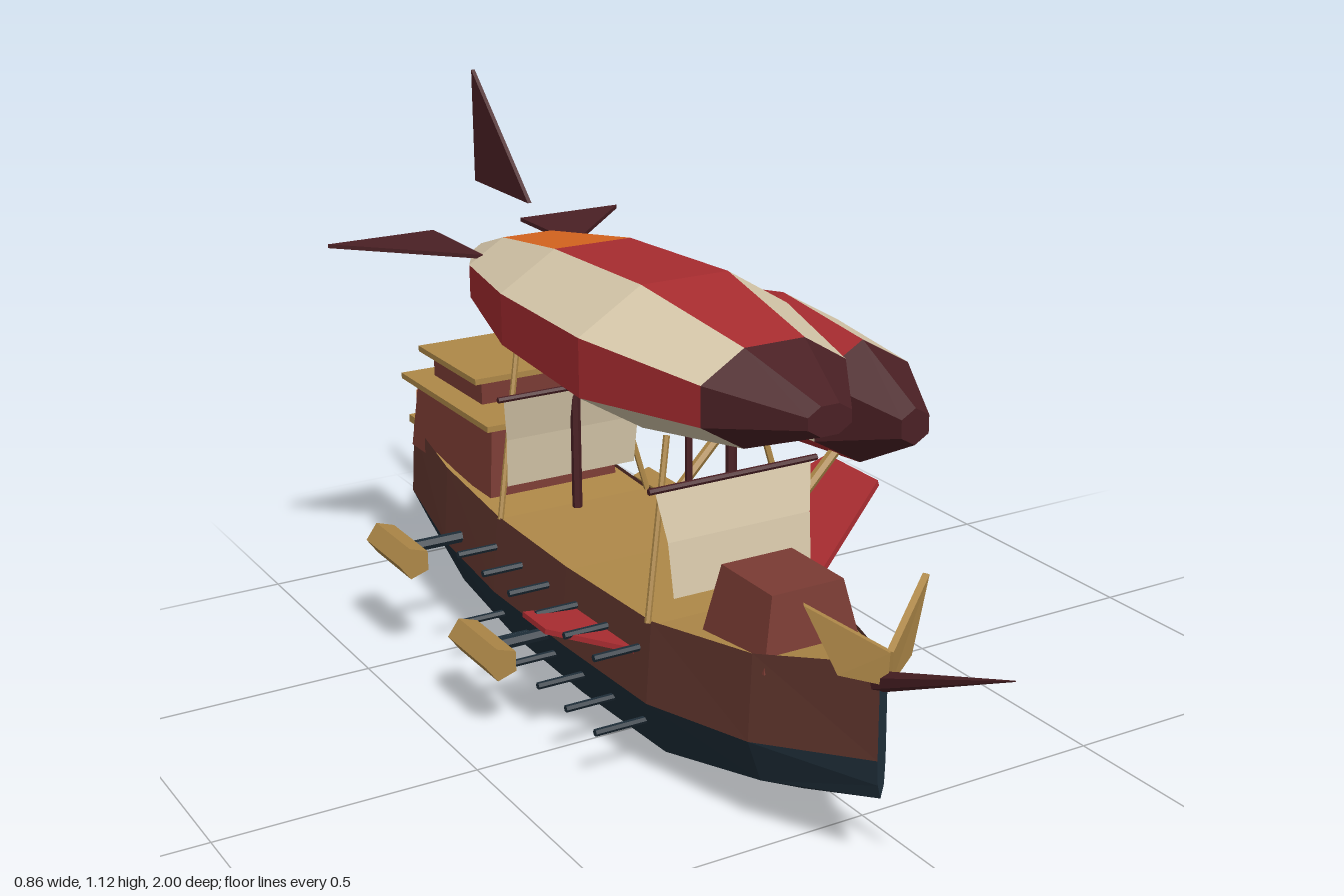
import * as THREE from 'three';

const mat = (name, color) => {
  const m = new THREE.MeshStandardMaterial({ color, flatShading: true, side: THREE.DoubleSide });
  m.name = name;
  return m;
};

export function createModel() {
  const brown = mat('hull brown', 0x60352d), navy = mat('navy', 0x1e2d38), tan = mat('tan wood', 0xae8848);
  const red = mat('red', 0xa82c30), cream = mat('cream', 0xd8c9ab), maroon = mat('maroon', 0x4a2024);
  const orange = mat('orange', 0xda661f), cabinRed = mat('cabin red', 0x7a3b33);

  const model = new THREE.Group();
  const ship = new THREE.Group();
  ship.name = 'airship';
  ship.position.x = -0.09; // hull centreline
  model.add(ship);

  const V = (x, y, z) => new THREE.Vector3(x, y, z);
  const add = (name, geo, material, x = 0, y = 0, z = 0, parent = ship) => {
    const m = new THREE.Mesh(geo, material);
    m.name = name;
    m.position.set(x, y, z);
    parent.add(m);
    return m;
  };
  // Mesh from convex polygons, each split as a fan
  const polys = (name, list, material) => {
    const pos = [];
    for (const p of list)
      for (let i = 1; i < p.length - 1; i++)
        for (const v of [p[0], p[i], p[i + 1]]) pos.push(v.x, v.y, v.z);
    const g = new THREE.BufferGeometry();
    g.setAttribute('position', new THREE.Float32BufferAttribute(pos, 3));
    g.computeVertexNormals();
    return add(name, g, material);
  };
  // Flat outline thickened along its normal
  const plate = (name, pts, material, t = 0.008) => {
    const n = pts[1].clone().sub(pts[0]).cross(pts[2].clone().sub(pts[0])).normalize().multiplyScalar(t / 2);
    const a = pts.map(p => p.clone().add(n)), b = pts.map(p => p.clone().sub(n));
    const sides = pts.map((_, i) => { const j = (i + 1) % pts.length; return [a[i], b[i], b[j], a[j]]; });
    return polys(name, [a, b.slice().reverse(), ...sides], material);
  };
  const rod = (name, a, b, r, material, sides = 6, rEnd = r) => {
    const d = b.clone().sub(a);
    const m = add(name, new THREE.CylinderGeometry(rEnd, r, d.length(), sides), material);
    m.position.copy(a).add(b).multiplyScalar(0.5);
    m.quaternion.setFromUnitVectors(V(0, 1, 0), d.normalize());
    return m;
  };
  // Box whose top is scaled in
  const frustum = (name, w, h, d, sx, sz, material, y, z) => {
    const g = new THREE.BoxGeometry(w, h, d), p = g.attributes.position;
    for (let i = 0; i < p.count; i++)
      if (p.getY(i) > 0) p.setXYZ(i, p.getX(i) * sx, p.getY(i), p.getZ(i) * sz);
    g.computeVertexNormals();
    return add(name, g, material, 0, y + h / 2, z);
  };

  // Hull stations: z, half width, keel y, chine y, waist y, rail y
  const stations = [
    [0.675, 0.008, 0.14, 0.165, 0.21, 0.385], [0.45, 0.115, 0.055, 0.095, 0.175, 0.337],
    [0.2, 0.17, 0.005, 0.05, 0.155, 0.312], [-0.1, 0.18, 0, 0.045, 0.155, 0.31],
    [-0.39, 0.18, 0.005, 0.05, 0.155, 0.315], [-0.64, 0.17, 0.03, 0.08, 0.175, 0.335],
    [-0.865, 0.14, 0.1, 0.14, 0.21, 0.36],
  ].map(([z, w, k, c, m, t]) => [
    V(w * 0.93, t, z), V(w, m, z), V(w * 0.77, c, z), V(0, k, z),
    V(-w * 0.77, c, z), V(-w, m, z), V(-w * 0.93, t, z)]);
  const lower = [], upper = [], deck = [];
  for (let i = 0; i < stations.length - 1; i++) {
    const s = stations[i], n = stations[i + 1];
    for (let j = 0; j < 6; j++) (j === 0 || j === 5 ? upper : lower).push([s[j], s[j + 1], n[j + 1], n[j]]);
    deck.push([s[6], s[0], n[0], n[6]].map(v => v.clone().setY(v.y - 0.008)));
  }
  lower.push(stations[6], stations[0].slice().reverse());
  polys('lowerHull', lower, navy);
  polys('upperHull', upper, brown);
  polys('deck', deck, tan);

  // Balloons: stations [z, scale], alternating panels, dark nose
  const balloon = (name, n, rx, ry, x, y, turn, st, patch) => {
    const rings = st.map(([z, s]) => Array.from({ length: n }, (_, k) => {
      const a = turn - (k * 2 * Math.PI) / n;
      return V(x + rx * s * Math.cos(a), y + ry * s * Math.sin(a), z);
    }));
    const nose = [rings[0].slice().reverse()], a = [], b = [], extra = [];
    for (let i = 0; i < rings.length - 1; i++)
      for (let k = 0; k < n; k++) {
        const j = (k + 1) % n, f = [rings[i][k], rings[i][j], rings[i + 1][j], rings[i + 1][k]];
        (i === 0 ? nose : patch && i === patch[0] && k === patch[1] ? extra : k % 2 ? b : a).push(f);
      }
    nose.push(rings[rings.length - 1]);
    polys(name + 'Ends', nose, maroon);
    polys(name + 'RedPanels', a, red);
    polys(name + 'CreamPanels', b, cream);
    if (extra.length) polys(name + 'Patch', extra, orange);
  };
  balloon('mainBalloon', 8, 0.232, 0.142, 0, 0.746, Math.PI / 8,
    [[0.51, 0.2], [0.345, 0.67], [0.055, 1], [-0.285, 0.91], [-0.56, 0.6], [-0.745, 0.16]], [3, 6]);
  balloon('sideBalloon', 6, 0.148, 0.148, 0.374, 0.588, Math.PI / 6,
    [[0.24, 0.24], [0.07, 0.82], [-0.2, 1], [-0.51, 0.65], [-0.685, 0.17]]);

  // Tail fins
  plate('tailFin', [V(0, 1.118, -0.785), V(0, 0.89, -0.545), V(0, 0.89, -0.785)], maroon);
  for (const s of [-1, 1])
    plate('sideTailFin', [V(s * 0.33, 0.793, -0.79), V(s * 0.1, 0.793, -0.79), V(s * 0.1, 0.793, -0.55)], maroon);

  // Rudder, bowsprit and bow wings
  plate('rudder', [V(0, 0.33, -0.866), V(0, 0.275, -0.97), V(0, 0.135, -1), V(0, 0.075, -0.95), V(0, 0.14, -0.862)], maroon, 0.012);
  rod('bowsprit', V(0, 0.345, 0.66), V(0, 0.485, 1), 0.018, maroon, 6, 0.001);
  for (const s of [-1, 1])
    plate('bowWing', [V(0, 0.41, 0.69), V(s * 0.12, 0.493, 0.62), V(s * 0.07, 0.37, 0.645), V(0, 0.35, 0.685)], tan, 0.012);

  // Cabins and stern roofs
  frustum('foreCabin', 0.2, 0.13, 0.2, 0.72, 0.8, cabinRed, 0.305, 0.375);
  frustum('aftCabin', 0.285, 0.145, 0.38, 0.9, 0.93, cabinRed, 0.32, -0.66);
  add('lowerRoof', new THREE.BoxGeometry(0.305, 0.012, 0.415), tan, 0, 0.471, -0.66);
  add('upperCabin', new THREE.BoxGeometry(0.2, 0.05, 0.23), cabinRed, 0, 0.502, -0.7);
  add('upperRoof', new THREE.BoxGeometry(0.245, 0.012, 0.275), tan, 0, 0.533, -0.703);
  add('sternWindow', new THREE.BoxGeometry(0.25, 0.055, 0.009), orange, 0, 0.41, -0.853);
  add('sternLedge', new THREE.BoxGeometry(0.27, 0.016, 0.03), tan, 0, 0.37, -0.863);

  // Side wings of unequal span
  plate('leftWing', [V(0.165, 0.235, 0.17), V(0.52, 0.352, -0.07), V(0.52, 0.352, -0.25), V(0.165, 0.235, -0.25)], red, 0.012);
  plate('rightWing', [V(-0.165, 0.237, 0.15), V(-0.275, 0.25, 0.02), V(-0.275, 0.25, -0.07), V(-0.165, 0.237, -0.07)], red, 0.01);

  // Masts, spars and sails
  for (const [z, lean] of [[0.22, 1], [-0.36, -1]]) {
    rod('mast', V(0, 0.3, z - 0.01), V(0, 0.64, z - 0.01), 0.01, maroon);
    rod('spar', V(-0.172, 0.562, z), V(0.172, 0.562, z), 0.006, maroon);
    const rows = [[0.562, 0.16, 0], [0.47, 0.146, 0.02], [0.37, 0.142, 0.032]];
    const f = [];
    for (let i = 0; i < 2; i++) {
      const [y, w, d] = rows[i], [y2, w2, d2] = rows[i + 1];
      f.push([V(-w, y, z + d * lean), V(-w2, y2, z + d2 * lean), V(w2, y2, z + d2 * lean), V(w, y, z + d * lean)]);
    }
    polys('sail', f, cream);
    for (const s of [-1, 1]) rod('stay', V(s * 0.165, 0.31, z - 0.02), V(s * 0.095, 0.63, z - 0.07), 0.006, tan);
  }
  rod('middleMast', V(0, 0.3, 0.065), V(0, 0.64, 0.065), 0.007, maroon);
  for (const z of [0.03, -0.3]) rod('balloonStrut', V(0.17, 0.305, z), V(0.345, 0.485, z), 0.011, tan);

  // Outrigger pods and gun rows on both sides
  for (const s of [-1, 1]) {
    for (const [y, z] of [[0.213, -0.56], [0.148, -0.175]]) {
      const pod = add('pod', new THREE.CylinderGeometry(0.034, 0.034, 0.165, 5), tan, s * 0.308, y, z);
      pod.rotation.set(Math.PI / 2, s * Math.PI / 2, 0);
      rod('podArm', V(s * 0.14, y, z), V(s * 0.285, y, z), 0.012, navy);
    }
    for (let i = 0; i < 6; i++)
      for (const [y, x] of [[0.25, 0.15], [0.105, 0.14]])
        rod('gun', V(s * x, y, 0.165 - i * 0.111), V(s * 0.255, y, 0.165 - i * 0.111), 0.007, navy);
  }
  return model;
}
